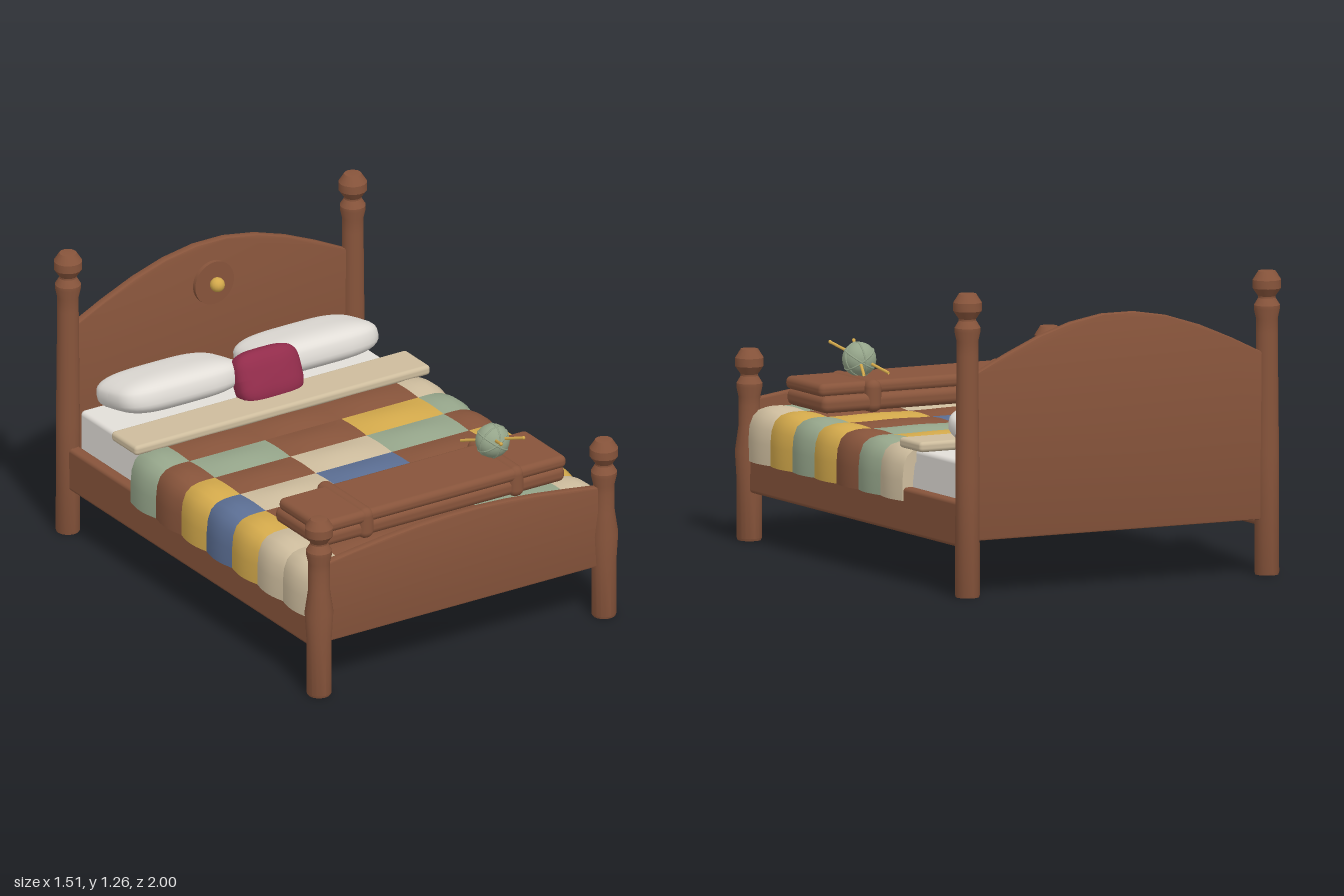
import * as THREE from 'three';
import { toCreasedNormals } from 'three/addons/utils/BufferGeometryUtils.js';
import { RoundedBoxGeometry } from 'three/addons/geometries/RoundedBoxGeometry.js';

const mat = (name, color, side = THREE.FrontSide) => {
  const m = new THREE.MeshStandardMaterial({ color, side });
  m.name = name;
  return m;
};

export function createModel() {
  const model = new THREE.Group();
  model.name = 'bed';
  const wood = mat('brown', 0x87543b, THREE.DoubleSide);
  const white = mat('linenWhite', 0xe2ded8);
  const cream = mat('cream', 0xcdbc9d, THREE.DoubleSide);
  const green = mat('sageGreen', 0x95a58a, THREE.DoubleSide);
  const yellow = mat('mustard', 0xd3a94b, THREE.DoubleSide);
  const blue = mat('dustyBlue', 0x5b6e93, THREE.DoubleSide);
  const red = mat('crimson', 0x922c4b);

  const add = (name, geo, material, x = 0, y = 0, z = 0, parent = model) => {
    const m = new THREE.Mesh(geo, material);
    m.name = name;
    m.position.set(x, y, z);
    parent.add(m);
    return m;
  };
  const rbox = (w, h, d, r) => new RoundedBoxGeometry(w, h, d, 3, r);

  // Turned posts: a shaft topped by a ring, a neck and a faceted knob
  const shaftHead = [[0, 0], [0.048, 0], [0.051, 0.01], [0.05, 0.5], [0.045, 1.0]];
  const shaftFoot = [[0, 0], [0.048, 0], [0.052, 0.01], [0.052, 0.24], [0.06, 0.37], [0.045, 0.475], [0.045, 0.56]];
  const finial = [[0.045, -0.2], [0.054, -0.16], [0.054, -0.145], [0.036, -0.115],
    [0.036, -0.108], [0.059, -0.075], [0.059, -0.04], [0.036, -0.004], [0, 0]];
  const post = (shaft, height) => {
    const pts = [...shaft, ...finial.map(([r, y]) => [r, y + height])].map(p => new THREE.Vector2(...p));
    return toCreasedNormals(new THREE.LatheGeometry(pts, 16), 0.5);
  };
  for (const s of [-1, 1]) {
    add('headPost', post(shaftHead, 1.26), wood, s * 0.697, 0, -0.94);
    add('footPost', post(shaftFoot, 0.795), wood, s * 0.697, 0, 0.94);
    add('sideRail', rbox(0.055, 0.19, 1.86, 0.016), wood, s * 0.692, 0.295, 0);
  }

  // Arched end boards
  const board = (sideY, rise) => {
    const w = 0.67, n = 9;
    const shape = new THREE.Shape().moveTo(-w, 0.234);
    shape.lineTo(w, 0.234);
    for (let i = 0; i <= n; i++) {
      const x = w - (2 * w * i) / n;
      shape.lineTo(x, sideY + rise * Math.cos((x / w) * Math.PI / 2));
    }
    const g = new THREE.ExtrudeGeometry(shape, { depth: 0.024, bevelThickness: 0.008, bevelSize: 0.008, bevelOffset: -0.006, bevelSegments: 2 });
    return toCreasedNormals(g.translate(0, 0, -0.012), 0.5);
  };
  add('headboard', board(0.92, 0.212), wood, 0, 0, -0.945);
  add('footboard', board(0.585, 0.062), wood, 0, 0, 0.938);

  // Round medallion with a brass knob
  add('medallion', new THREE.CylinderGeometry(0.095, 0.095, 0.02, 28).rotateX(Math.PI / 2), wood, 0, 0.952, -0.917);
  add('medallionKnob', new THREE.SphereGeometry(0.031, 16, 12), yellow, 0, 0.952, -0.887);

  add('mattress', rbox(1.32, 0.2, 1.82, 0.02), white, 0, 0.445, 0);

  // Patchwork quilt: puffed patches, five columns by seven rows, hanging over both sides
  const rows = 7, z0 = -0.43, dz = 0.19;
  const colours = { b: wood, g: green, y: yellow, c: cream, u: blue };
  const columns = ['gbyuycc', 'bgbcbgb', 'bbcubcb', 'bygbybg', 'cgbygyc'];
  // Drape section: x, y, outward direction, puff weight
  const drape = [[0.56, 0.552, 0, 1, 0.3], [0.6, 0.553, 0, 1, 0.8], [0.64, 0.551, 0.1, 1, 1], [0.675, 0.542, 0.4, 0.9, 1],
    [0.702, 0.52, 0.75, 0.65, 1], [0.718, 0.48, 1, 0.2, 1], [0.724, 0.42, 1, 0, 1], [0.724, 0.335, 1, 0, 1],
    [0.665, 0.335, 0, 0, 0]];
  const flat = (a, b) => Array.from({ length: 11 }, (_, i) =>
    [a + (b - a) * i / 10, 0.552, 0, 1, 0.3 + 0.7 * Math.sin(Math.PI * i / 10)]);
  const sections = [drape.map(([x, y, nx, ny, k]) => [-x, y, -nx, ny, k]).reverse(),
    flat(-0.56, -0.19), flat(-0.19, 0.183), flat(0.183, 0.56), drape];
  const patch = (section, row) => {
    const pos = [], idx = [], steps = 10, n = section.length;
    const rings = [];
    for (let j = 0; j <= steps; j++) rings.push([j / steps, 0]);
    // Close the two ends of the quilt
    if (row === 0) rings.unshift([0, 0.05]);
    if (row === rows - 1) rings.push([1, 0.05]);
    for (const [v, inset] of rings) {
      const swell = 0.015 * Math.max(0, Math.sin(Math.PI * v));
      for (const [x, y, nx, ny, k] of section) {
        pos.push(x + nx * (swell * k - inset), y + ny * (swell * k - inset), z0 + (row + v) * dz);
      }
    }
    for (let j = 0; j < rings.length - 1; j++) {
      for (let i = 0; i < n - 1; i++) {
        const a = j * n + i, b = a + n;
        idx.push(a, b, a + 1, a + 1, b, b + 1);
      }
    }
    const g = new THREE.BufferGeometry();
    g.setAttribute('position', new THREE.Float32BufferAttribute(pos, 3));
    g.setIndex(idx);
    return toCreasedNormals(g, 0.8);
  };
  const quilt = new THREE.Group();
  quilt.name = 'quilt';
  model.add(quilt);
  columns.forEach((col, c) => {
    for (let r = 0; r < rows; r++) add('quiltPatch', patch(sections[c], r), colours[col[r]], 0, 0, 0, quilt);
  });

  add('foldedSheet', rbox(1.445, 0.043, 0.19, 0.016), cream, 0, 0.574, -0.487);

  // Plump cushions: a sphere squared off in plan and flattened above and below
  const cushion = (hx, hy, hz, corner) => {
    const g = new THREE.SphereGeometry(1, 36, 20);
    const p = g.attributes.position;
    const sq = (v, e) => Math.sign(v) * Math.pow(Math.abs(v), e);
    for (let i = 0; i < p.count; i++) {
      const x = p.getX(i), y = p.getY(i), z = p.getZ(i);
      const r = Math.hypot(x, z) || 1;
      const ring = Math.pow(r, 0.65);
      p.setXYZ(i, hx * ring * sq(x / r, corner), hy * sq(y, 0.7), hz * ring * sq(z / r, corner));
    }
    g.computeVertexNormals();
    return g;
  };
  for (const s of [-1, 1]) {
    add('pillow', cushion(0.297, 0.078, 0.178, 0.52), white, s * 0.335, 0.652, -0.738).rotation.x = -0.22;
  }
  const throwCushion = add('throwCushion', cushion(0.158, 0.068, 0.115, 0.55).rotateX(Math.PI / 2), red, 0.043, 0.656, -0.582);
  throwCushion.rotation.set(-0.42, 0.03, 0);

  // Folded blanket with two straps
  const blanket = new THREE.Group();
  blanket.name = 'foldedBlanket';
  model.add(blanket);
  add('lowerFold', rbox(1.215, 0.07, 0.335, 0.028), wood, -0.003, 0.606, 0.635, blanket);
  add('upperFold', rbox(1.215, 0.055, 0.315, 0.024), wood, -0.003, 0.663, 0.654, blanket);
  for (const x of [-0.37, 0.365]) {
    add('strap', rbox(0.07, 0.135, 0.36, 0.033), wood, x, 0.63, 0.637, blanket);
  }

  // Yarn ball with wound strands and two crossed needles
  const yarn = new THREE.Group();
  yarn.name = 'yarnBall';
  yarn.position.set(0.345, 0.761, 0.645);
  model.add(yarn);
  add('ball', new THREE.SphereGeometry(0.071, 20, 14), green, 0, 0, 0, yarn);
  for (const [a, b] of [[0.3, 0.2], [1.3, 0.5], [0.8, 1.4], [1.7, -0.6]]) {
    add('strand', new THREE.TorusGeometry(0.07, 0.004, 6, 32), green, 0, 0, 0, yarn).rotation.set(a, b, 0);
  }
  for (const s of [-1, 1]) {
    const low = new THREE.Vector3(-s * 0.058, -0.043, -0.148);
    const high = new THREE.Vector3(s * 0.055, 0.056, 0.148);
    add('needle', new THREE.TubeGeometry(new THREE.LineCurve3(low, high), 1, 0.0065, 8), yellow, 0, 0, 0, yarn);
    add('needleTip', new THREE.SphereGeometry(0.008, 8, 6), yellow, high.x, high.y, high.z, yarn);
  }
  return model;
}
